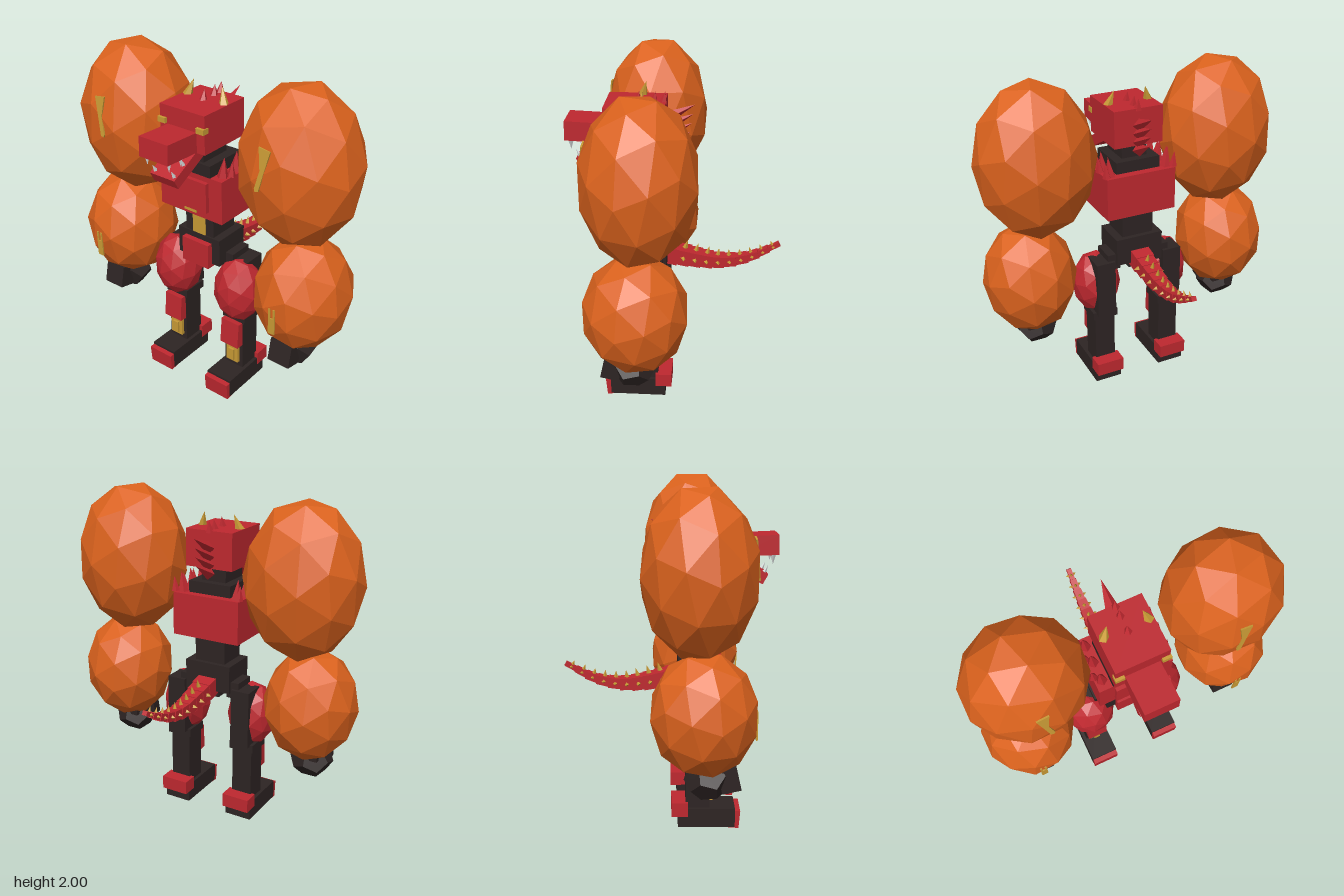
import * as THREE from 'three';

const mat = (name, color) => Object.assign(new THREE.MeshStandardMaterial({ color }), { name });

export function createModel() {
  const orange = mat('orange armour', 0xdb621d);
  const red = mat('red hide', 0xbe282f);
  const dark = mat('dark frame', 0x2d2423);
  const gold = mat('gold trim', 0xc99a35);
  const bone = mat('tooth grey', 0xd6dada);

  const model = new THREE.Group();
  model.name = 'beastRobot';
  const body = new THREE.Group();
  body.name = 'body';
  body.position.x = -0.018;
  model.add(body);

  const add = (parent, name, geo, material) => {
    const m = new THREE.Mesh(geo, material);
    m.name = name;
    parent.add(m);
    return m;
  };
  // box given by its min/max ranges on each axis
  const box = (parent, name, material, [x0, x1], [y0, y1], [z0, z1]) => {
    const m = add(parent, name, new THREE.BoxGeometry(Math.abs(x1 - x0), y1 - y0, z1 - z0), material);
    m.position.set((x0 + x1) / 2, (y0 + y1) / 2, (z0 + z1) / 2);
    return m;
  };
  // faceted ellipsoid: the facets are turned, then fitted to the radii
  const blob = (parent, name, material, pos, radii, [tx, ty, tz]) => {
    const g = new THREE.IcosahedronGeometry(1, 1).rotateX(tx).rotateY(ty).rotateZ(tz).center();
    const { max } = g.boundingBox;
    g.scale(radii[0] / max.x, radii[1] / max.y, radii[2] / max.z);
    g.computeVertexNormals();
    const m = add(parent, name, g, material);
    m.position.set(...pos);
    return m;
  };
  // faceted cone from a base point along a direction
  const up = new THREE.Vector3(0, 1, 0);
  const spike = (parent, name, material, base, dir, r, len, sides = 5) => {
    const g = new THREE.ConeGeometry(r, len, sides).translate(0, len / 2, 0).toNonIndexed();
    g.computeVertexNormals();
    const m = add(parent, name, g, material);
    m.position.set(...base);
    m.quaternion.setFromUnitVectors(up, new THREE.Vector3(...dir).normalize());
    return m;
  };
  const plate = (parent, name, points, material) => {
    const s = new THREE.Shape(points.map(([x, y]) => new THREE.Vector2(x, y)));
    return add(parent, name, new THREE.ExtrudeGeometry(s, { depth: 0.009, bevelEnabled: false }), material);
  };

  // torso
  box(body, 'chest', red, [-0.218, 0.218], [1.16, 1.42], [0.02, 0.34]);
  box(body, 'chestPlate', red, [-0.128, 0.128], [1.21, 1.39], [0.33, 0.365]);
  box(body, 'chestBadge', gold, [-0.042, 0.042], [1.18, 1.2], [0.335, 0.348]);
  box(body, 'neck', dark, [-0.138, 0.138], [1.41, 1.49], [0.07, 0.34]);
  box(body, 'throat', dark, [-0.08, 0.08], [1.48, 1.6], [0.12, 0.32]);
  box(body, 'abdomen', dark, [-0.1, 0.1], [0.99, 1.17], [0.08, 0.27]);
  box(body, 'abdomenPanel', gold, [-0.045, 0.045], [1.0, 1.13], [0.268, 0.277]);
  box(body, 'pelvis', dark, [-0.15, 0.15], [0.83, 1.0], [0.05, 0.28]);
  box(body, 'pelvisPlate', red, [-0.095, 0.095], [0.81, 0.965], [0.25, 0.315]);
  box(body, 'pelvisBase', dark, [-0.05, 0.05], [0.77, 0.84], [0.1, 0.25]);

  // head
  const head = new THREE.Group();
  head.name = 'head';
  body.add(head);
  box(head, 'skull', red, [-0.152, 0.152], [1.58, 1.8], [0.06, 0.395]);
  const snout = box(head, 'snout', red, [-0.098, 0.098], [1.587, 1.7], [0.37, 0.622]);
  snout.rotation.x = -0.04;
  const jaw = new THREE.Group();
  jaw.name = 'jaw';
  jaw.position.set(0, 1.59, 0.33);
  jaw.rotation.x = 0.5;
  head.add(jaw);
  box(jaw, 'lowerJaw', red, [-0.085, 0.085], [-0.05, 0.015], [0, 0.26]);
  spike(jaw, 'chinSpike', gold, [0, -0.045, 0.2], [0, -1, -0.35], 0.014, 0.06, 4);
  for (const s of [-1, 1]) {
    box(head, 'eye', gold, [s * 0.105, s * 0.157], [1.7, 1.73], [0.37, 0.412]);
    spike(head, 'horn', gold, [s * 0.125, 1.79, 0.2], [-s * 0.3, 1, -0.25], 0.03, 0.1);
    for (const z of [0.5, 0.59]) spike(head, 'upperTooth', bone, [s * 0.075, 1.59, z], [0, -1, 0], 0.016, 0.055, 4);
    for (const z of [0.15, 0.235]) spike(jaw, 'lowerTooth', bone, [s * 0.065, 0.01, z], [0, 1, 0], 0.014, 0.05, 4);
    // shoulder spikes
    for (const z of [0.07, 0.17, 0.28]) {
      spike(body, 'shoulderSpike', red, [s * 0.178, 1.415, z], [s * 0.1, 1, 0], 0.034, 0.125);
      spike(body, 'outerSpike', red, [s * 0.212, 1.425, z - 0.03], [s * 0.1, 1, 0], 0.025, 0.09);
    }
  }
  // crest along the top and back of the skull
  for (const z of [0.22, 0.13, 0.075]) spike(head, 'crestSpike', red, [0, 1.79, z], [0, 1, -0.2], 0.026, 0.068);
  for (const i of [0, 1, 2, 3]) {
    spike(head, 'napeSpike', red, [0, 1.7 - i * 0.05, 0.065], [0, 0.5, -1], 0.038, 0.19 - i * 0.01, 4);
  }

  // tail: tapered links along a curve, with spikes on top and sides
  const tail = new THREE.Group();
  tail.name = 'tail';
  body.add(tail);
  const path = new THREE.CatmullRomCurve3([[0.86, 0.06], [0.828, -0.1], [0.808, -0.27], [0.84, -0.44], [0.93, -0.61]]
    .map(([y, z]) => new THREE.Vector3(0, y, z)));
  const links = 10;
  for (let i = 0; i < links; i++) {
    const a = path.getPointAt(i / links), b = path.getPointAt((i + 1) / links);
    const w = 0.118 - 0.0098 * i;
    const link = new THREE.Group();
    link.name = 'tailLink';
    link.position.copy(a).lerp(b, 0.5);
    link.rotation.x = Math.atan2(b.y - a.y, a.z - b.z);
    tail.add(link);
    add(link, 'tailSegment', new THREE.BoxGeometry(w, w * 0.9, a.distanceTo(b) + 0.012), red);
    if (i < 1) continue;
    const len = 0.058 - i * 0.003;
    spike(link, 'tailTopSpike', gold, [0, w * 0.42, 0], [0, 1, -0.1], 0.018 - i * 0.0008, len, 4);
    for (const s of [-1, 1]) spike(link, 'tailSideSpike', gold, [s * w * 0.47, 0, 0], [s, 0, -0.15], 0.017 - i * 0.0007, len * 0.65, 4);
  }

  for (const s of [-1, 1]) {
    const side = s > 0 ? 'left' : 'right';

    // leg
    const leg = new THREE.Group();
    leg.name = side + 'Leg';
    leg.position.x = s * 0.222;
    body.add(leg);
    box(leg, 'hip', dark, [-s * 0.1, -s * 0.02], [0.8, 0.9], [0.07, 0.22]);
    box(leg, 'thighFrame', dark, [-0.06, 0.06], [0.5, 0.86], [0.05, 0.19]);
    blob(leg, 'thighArmour', red, [s * 0.008, 0.67, 0.2], [0.147, 0.202, 0.14], [0.15, s * 0.2, s * 0.12]);
    box(leg, 'knee', dark, [-0.08, 0.08], [0.46, 0.51], [0.08, 0.24]);
    box(leg, 'shin', dark, [-0.065, 0.065], [0.12, 0.49], [0.095, 0.235]);
    const guard = box(leg, 'shinGuard', red, [-0.064, 0.064], [0.3, 0.465], [0.2, 0.28]);
    guard.rotation.x = -0.08;
    box(leg, 'shinPanel', gold, [-0.043, 0.043], [0.165, 0.3], [0.23, 0.255]);
    box(leg, 'shinInset', gold, [-0.02, 0.02], [0.18, 0.26], [0.25, 0.268]);
    box(leg, 'foot', dark, [-0.086, 0.086], [0.012, 0.128], [0.05, 0.385]);
    const toe = box(leg, 'toe', red, [-0.084, 0.084], [0.008, 0.116], [0.3, 0.412]);
    toe.rotation.x = 0.08;
    box(leg, 'heel', red, [-0.088, 0.088], [0.08, 0.165], [0.012, 0.11]);

    // arm
    const arm = new THREE.Group();
    arm.name = side + 'Arm';
    model.add(arm);
    blob(arm, 'upperArmArmour', orange, [s * 0.572, 1.561, 0.152], [0.337, 0.441, 0.304], [0.3, s * 0.25, s * 0.15]);
    blob(arm, 'forearmArmour', orange, [s * 0.643, 0.828, 0.178], [0.267, 0.328, 0.282], [0.3, s * 0.25, s * 0.1]);

    // gold marks on the arm armour
    const slash = plate(arm, 'upperArmMark', [[-0.04, 0.11], [0.03, 0.12], [0.022, 0.07], [0.012, 0.0], [0.035, -0.1],
      [0.03, -0.115], [0.01, -0.11], [-0.012, -0.01]].map(([x, y]) => [-s * x, y]), gold);
    slash.position.set(s * 0.555 - 0.018, 1.635, 0.445);
    slash.rotation.x = -0.12;
    const fork = plate(arm, 'forearmMark', [[-0.02, -0.08], [0.02, -0.08], [0.02, 0.08], [0.008, 0.08],
      [0.008, 0.02], [-0.008, 0.02], [-0.008, 0.08], [-0.02, 0.08]], gold);
    fork.position.set(s * 0.643 - 0.018, 0.775, 0.452);

    // hand
    const hand = add(arm, 'fist', new THREE.DodecahedronGeometry(1, 0).rotateX(0.3).scale(0.13, 0.118, 0.128), dark);
    hand.position.set(s * 0.64 - 0.018, 0.475, 0.2);
    const knuckles = box(arm, 'knuckles', dark, [s * 0.64 - 0.088, s * 0.64 + 0.052], [0.42, 0.555], [0.26, 0.365]);
    knuckles.rotation.x = -0.22;
    box(arm, 'wrist', dark, [s * 0.64 - 0.09, s * 0.64 + 0.06], [0.5, 0.58], [0.1, 0.27]);
  }
  return model;
}
